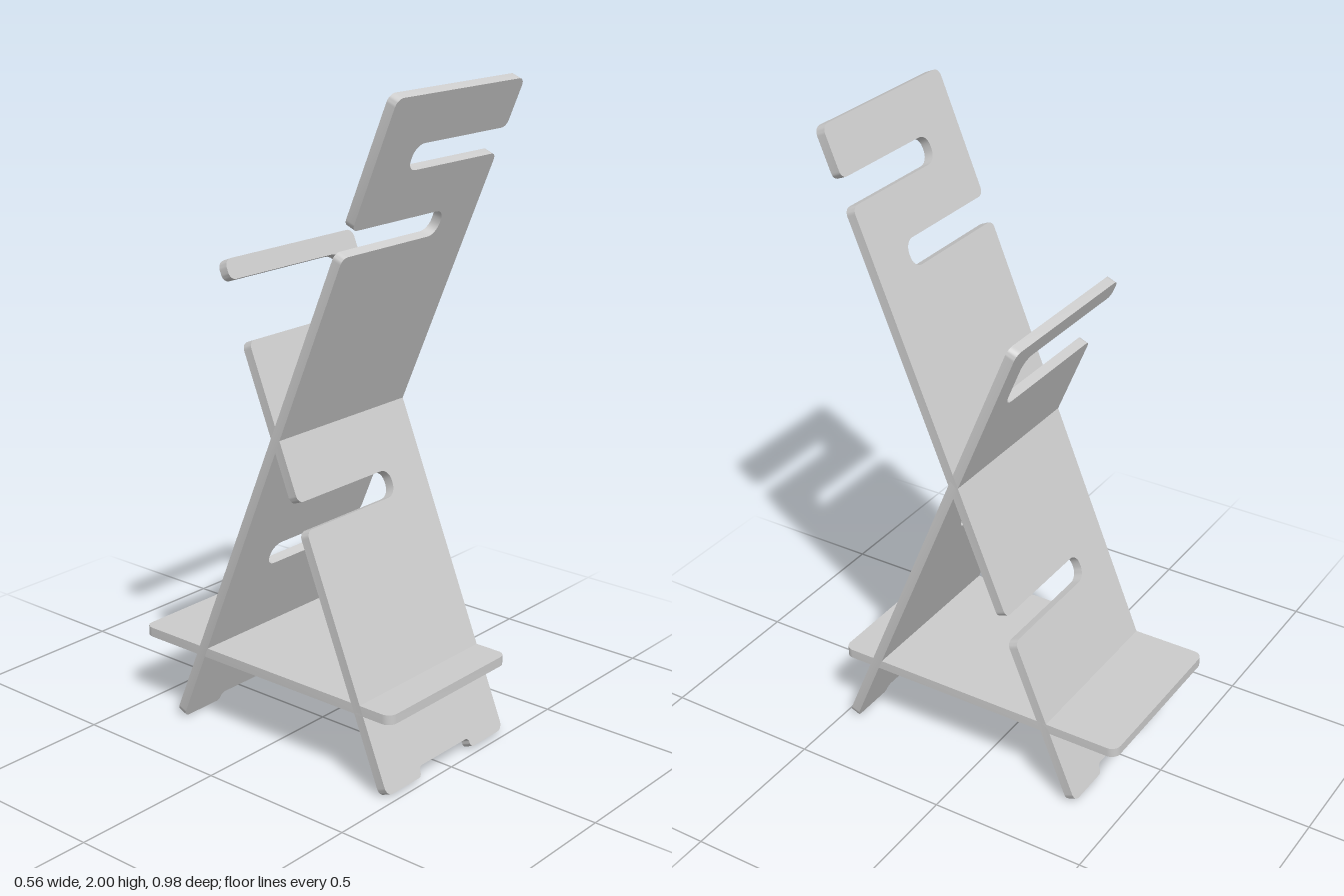
import * as THREE from 'three';
import { toCreasedNormals } from 'three/addons/utils/BufferGeometryUtils.js';

const HALF = 0.28;                          // half width of every panel
const THICK = 0.03;
const LEAN = THREE.MathUtils.degToRad(22.4);

// Closed shape from corners [x, y, radius], each corner rounded
function roundedShape(corners) {
  const pts = corners.map(([x, y]) => new THREE.Vector2(x, y));
  const n = pts.length;
  const toward = (a, b, d) => a.clone().add(b.clone().sub(a).setLength(d));
  const shape = new THREE.Shape();
  pts.forEach((p, i) => {
    const r = corners[i][2];
    const prev = pts[(i + n - 1) % n], next = pts[(i + 1) % n];
    const a = toward(p, prev, r), b = toward(p, next, r);
    const c1 = toward(p, prev, r * 0.45), c2 = toward(p, next, r * 0.45);
    if (i === 0) shape.moveTo(a.x, a.y);
    else shape.lineTo(a.x, a.y);
    shape.bezierCurveTo(c1.x, c1.y, c2.x, c2.y, b.x, b.y);
  });
  shape.closePath();
  return shape;
}

// Corners of one slot cut in from an edge, going up that edge
const slotCorners = ({ side, from, to, end, r }) => [
  [side * HALF, from, 0.022], [end, from, r], [end, to, r], [side * HALF, to, 0.022],
];

// Leaning board: notched foot, slots in its sides, rounded top
function boardShape(length, slots) {
  const right = slots.filter((s) => s.side > 0).flatMap(slotCorners);
  const left = slots.filter((s) => s.side < 0).flatMap(slotCorners).reverse();
  return roundedShape([
    [-HALF, 0, 0.025], [-0.12, 0, 0.013], [-0.12, 0.03, 0.015],
    [0.12, 0.03, 0.015], [0.12, 0, 0.013], [HALF, 0, 0.025],
    ...right,
    [HALF, length, 0.025], [-HALF, length, 0.025],
    ...left,
  ]);
}

function panel(name, shape, material) {
  const geo = new THREE.ExtrudeGeometry(shape, { depth: THICK, bevelEnabled: false, curveSegments: 6 });
  geo.translate(0, 0, -THICK / 2);
  const mesh = new THREE.Mesh(toCreasedNormals(geo, 0.6), material);
  mesh.name = name;
  return mesh;
}

// Narrow slot centred at height s along the board
const narrowSlot = (side, s) => ({ side, from: s - 0.041, to: s + 0.041, end: -side * 0.125, r: 0.036 });

export function createModel() {
  const group = new THREE.Group();
  group.name = 'foldedPanelStand';
  const material = new THREE.MeshStandardMaterial({ color: 0xcccccc });
  const footY = (THICK / 2) * Math.sin(LEAN);

  // Tall board: foot at the back, top leaning to the front
  const tall = panel('tallBoard', boardShape(2.151, [
    narrowSlot(1, 0.594), narrowSlot(-1, 1.717), narrowSlot(1, 1.957),
  ]), material);
  tall.rotation.x = LEAN;
  tall.position.set(0, footY, -0.342);

  // Short board: foot at the front, with an open handle at the top
  const short = panel('shortBoard', boardShape(1.592, [
    narrowSlot(-1, 0.832),
    { side: -1, from: 1.352, to: 1.531, end: 0.2, r: 0.04 },
  ]), material);
  short.rotation.x = -LEAN;
  short.position.set(0, footY, 0.469);

  // Level shelf joining the two boards
  const shelf = panel('shelf', roundedShape([
    [-HALF, -0.49, 0.03], [HALF, -0.49, 0.03], [HALF, 0.49, 0.03], [-HALF, 0.49, 0.03],
  ]), material);
  shelf.rotation.x = -Math.PI / 2;
  shelf.position.y = 0.248;

  group.add(tall, short, shelf);
  return group;
}
